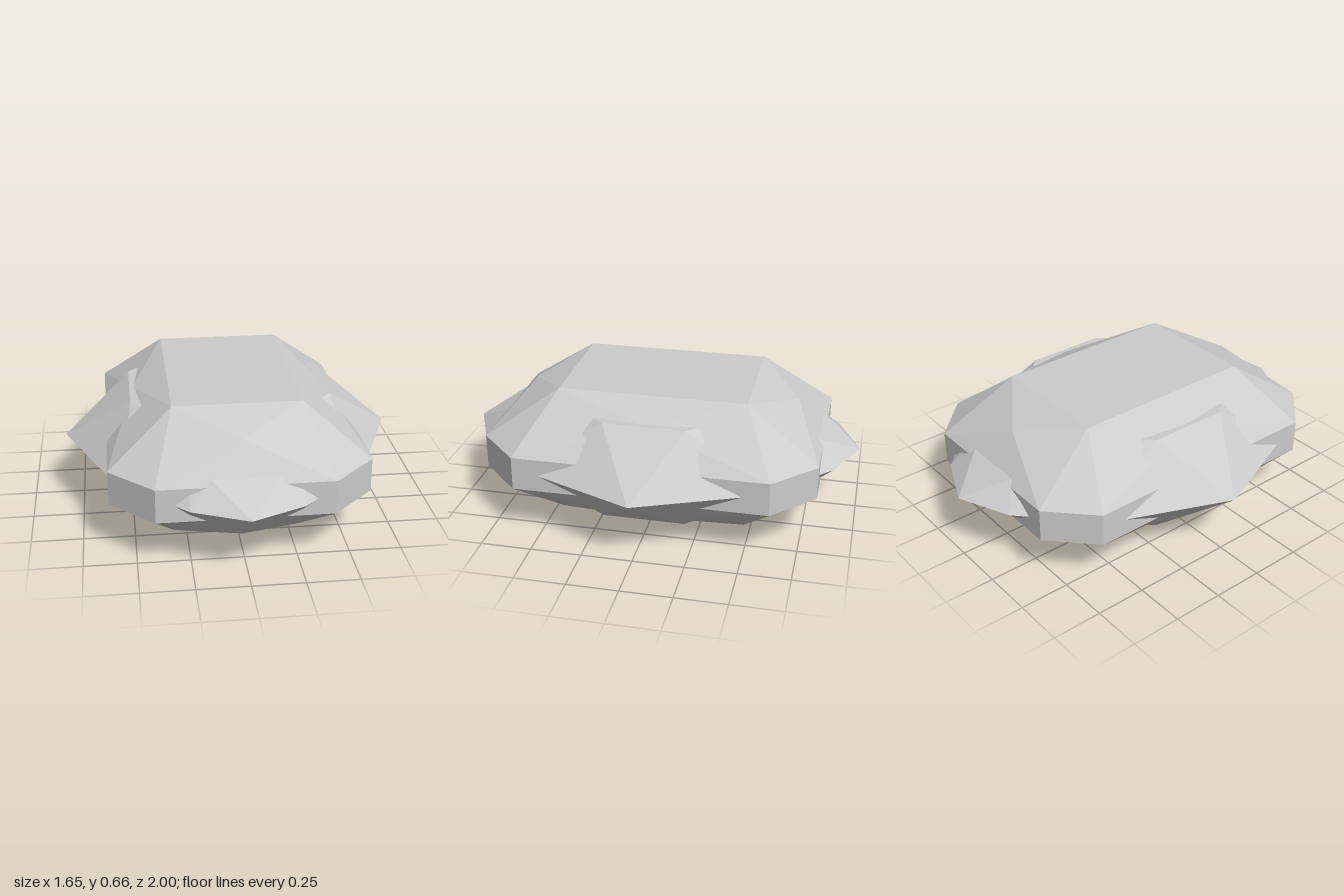
import * as THREE from 'three';
import { ConvexGeometry } from 'three/addons/geometries/ConvexGeometry.js';

const MID = 0.33; // height of the symmetry plane

// Convex faceted solid from one octant of corners, mirrored in x, y and z.
// Each corner is [x, height above the mid plane, z].
function facetedSolid(name, corners, material) {
  const points = new Map();
  for (const [x, y, z] of corners)
    for (const sx of [1, -1])
      for (const sy of [1, -1])
        for (const sz of [1, -1]) {
          const p = new THREE.Vector3(x * sx, MID + y * sy, z * sz);
          points.set(p.toArray().map(v => (v + 0).toFixed(4).replace('-0.0000', '0.0000')).join(), p);
        }
  const mesh = new THREE.Mesh(new ConvexGeometry([...points.values()]), material);
  mesh.name = name;
  return mesh;
}

export function createModel() {
  const group = new THREE.Group();
  group.name = 'facetedGem';
  const material = new THREE.MeshStandardMaterial({ color: 0xcccccc, flatShading: true });

  // Main stone: flat table, mid-side facet points and an octagonal girdle
  group.add(facetedSolid('gemBody', [
    [0.31, 0.33, 0.465],
    [0.48, 0.245, 0],
    [0, 0.245, 0.68],
    [0.62, 0.083, 0.62],
    [0.412, 0.083, 0.823],
  ], material));

  // Crossing stone whose points stick out on the left and right
  group.add(facetedSolid('sidePoints', [
    [0.825, 0, 0],
    [0.495, 0.25, 0.2],
    [0.45, 0.25, 0.25],
    [0.56, 0, 0.637],
  ], material));

  // Slimmer crossing stone whose points stick out at the front and back
  group.add(facetedSolid('endPoints', [
    [0, 0, 1],
    [0.16, 0.11, 0.8],
    [0.26, 0, 0.887],
    [0.26, 0.048, 0.823],
    [0.41, 0, 0.74],
  ], material));

  return group;
}
